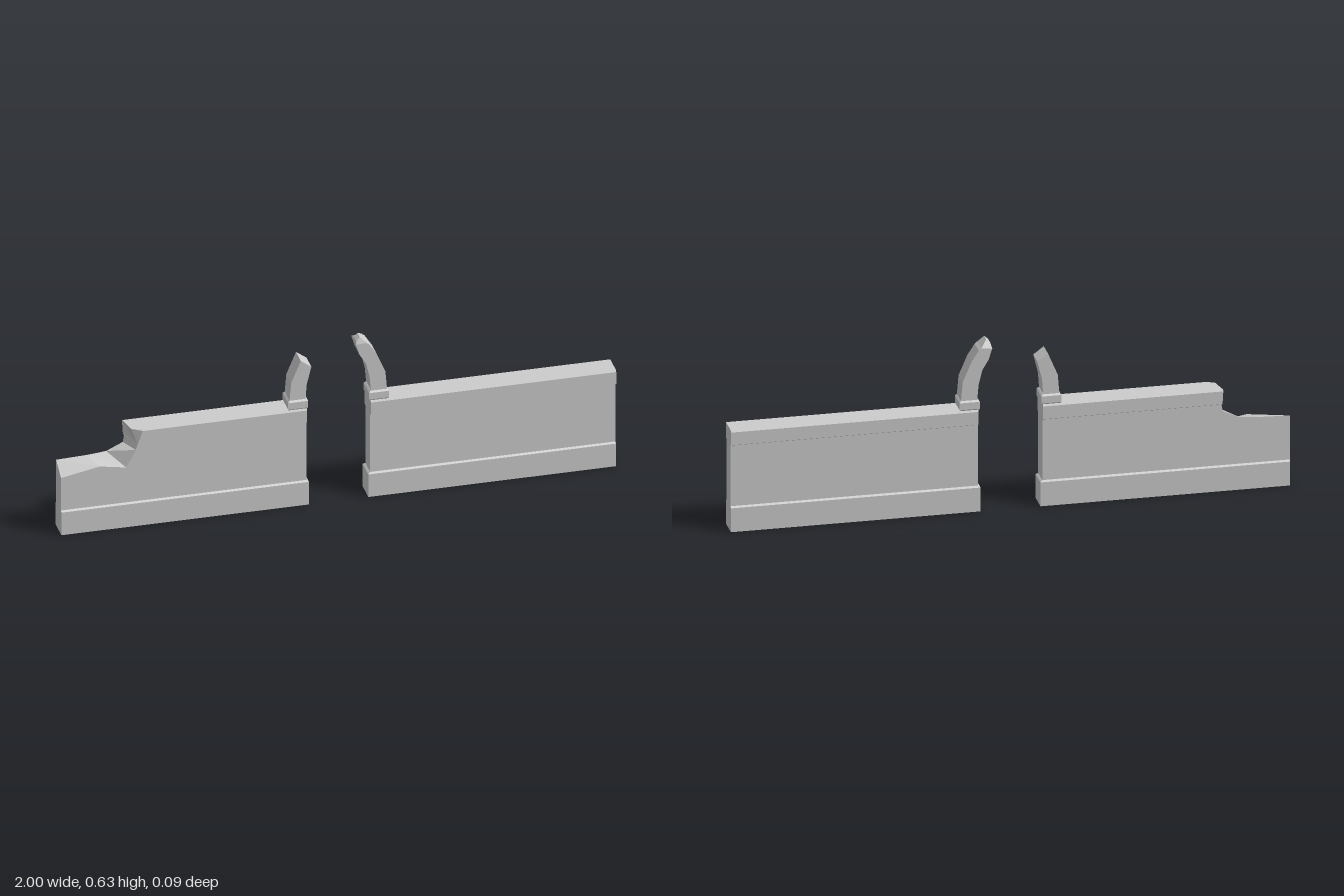
import * as THREE from 'three';

const material = new THREE.MeshStandardMaterial({ color: 0xcccccc, flatShading: true });

// Skins a row of equal-length rings; ends are triangulated in the plane of the two given axes.
function loft(name, rings, u, v) {
  const tris = [];
  const n = rings[0].length;
  for (let r = 0; r < rings.length - 1; r++) {
    for (let i = 0; i < n; i++) {
      const j = (i + 1) % n;
      const a = rings[r][i], b = rings[r][j], c = rings[r + 1][j], d = rings[r + 1][i];
      tris.push([a, b, c], [a, c, d]);
    }
  }
  const flat = (ring) => ring.map((p) => new THREE.Vector2(p[u], p[v]));
  const area = THREE.ShapeUtils.area(flat(rings[0]));
  [rings[0], rings[rings.length - 1]].forEach((ring, end) => {
    for (const f of THREE.ShapeUtils.triangulateShape(flat(ring), [])) {
      const t = f.map((k) => ring[k]);
      const s = THREE.ShapeUtils.area(flat(t));
      // the first end runs against the ring direction, the last end along it
      if ((s * area > 0) === (end === 0)) t.reverse();
      tris.push(t);
    }
  });
  // Turn everything outward if the enclosed volume comes out negative
  let volume = 0;
  for (const [a, b, c] of tris) {
    volume += new THREE.Vector3(...a).dot(new THREE.Vector3(...b).cross(new THREE.Vector3(...c)));
  }
  if (volume < 0) tris.forEach((t) => t.reverse());
  const geometry = new THREE.BufferGeometry();
  geometry.setAttribute('position', new THREE.Float32BufferAttribute(tris.flat(2), 3));
  geometry.computeVertexNormals();
  const mesh = new THREE.Mesh(geometry, material);
  mesh.name = name;
  return mesh;
}

// Horizontal rectangle at height y
const rect = (x0, x1, z, y) => [[x0, y, z], [x1, y, z], [x1, y, -z], [x0, y, -z]];

// Stepped plinth; side is +1 or -1
function plinth(side) {
  return loft('plinth', [[0.107, 0.04, 0], [0.107, 0.04, 0.09], [0.115, 0.034, 0.096]]
    .map(([x, z, y]) => rect(side * x, side, z, y)), 'x' === 'y' ? 1 : 0, 2);
}

// Bevelled collar under a horn
function collar(side) {
  const rows = [[0.383, 0.033, 0.037], [0.388, 0.036, 0.04], [0.414, 0.036, 0.04], [0.42, 0.03, 0.034]];
  return loft('collar', rows.map(([y, w, z]) => rect(side * 0.146 - w, side * 0.146 + w, z, y)), 0, 2);
}

// Curved horn; each row holds outer x, y, inner x, y, front z, back z
function horn(name, rows) {
  return loft(name, rows.map(([ox, oy, ix, iy, zf = 0.034, zb = -0.034]) =>
    [[ix, iy, zf], [ox, oy, zf], [ox, oy, zb], [ix, iy, zb]]), 0, 2);
}

// Coping section as [z, y]
const coping = [[0.034, 0.325], [0.044, 0.33], [0.044, 0.378], [0.04, 0.384], [0.03, 0.384],
  [-0.04, 0.384], [-0.044, 0.378], [-0.044, 0.33], [-0.034, 0.325]];
const copingRing = (xs) => coping.map(([z, y], i) => [Array.isArray(xs) ? xs[i] : xs, y, z]);

export function createModel() {
  const model = new THREE.Group();
  model.name = 'brokenGateWall';

  // Intact wall on the +x side
  const whole = new THREE.Group();
  whole.name = 'intactWall';
  whole.add(
    plinth(1),
    loft('wallPanel', [rect(0.115, 1, 0.034, 0.09), rect(0.115, 1, 0.034, 0.327)], 0, 2),
    loft('coping', [copingRing(0.115), copingRing(1)], 2, 1),
    collar(1),
    horn('tallHorn', [
      [0.176, 0.418, 0.118, 0.418],
      [0.17, 0.49, 0.113, 0.475],
      [0.138, 0.565, 0.1, 0.53],
      [0.112, 0.605, 0.077, 0.568],
      [0.102, 0.613, 0.064, 0.61],
      [0.08, 0.635, 0.066, 0.622, 0.025, -0.006],
    ]),
  );

  // Damaged wall on the -x side, its broken edge slanting from back to front
  const broken = new THREE.Group();
  broken.name = 'brokenWall';
  const foot = [[-1, 0.09], [-0.115, 0.09], [-0.115, 0.327]];
  const frontEdge = [[-0.722, 0.327], [-0.73, 0.3], [-0.765, 0.235], [-0.86, 0.252], [-1, 0.225]];
  const backEdge = [[-0.755, 0.327], [-0.76, 0.3], [-0.82, 0.272], [-0.89, 0.266], [-1, 0.262]];
  const face = (edge, z) => [...foot, ...edge].map(([x, y]) => [x, y, z]);
  broken.add(
    plinth(-1),
    loft('brokenPanel', [face(frontEdge, 0.034), face(backEdge, -0.034)], 0, 1),
    loft('brokenCoping', [
      copingRing([-0.725, -0.725, -0.708, -0.705, -0.745, -0.76, -0.76, -0.757, -0.755]),
      copingRing(-0.115),
    ], 2, 1),
    collar(-1),
    horn('brokenHorn', [
      [-0.176, 0.418, -0.118, 0.418],
      [-0.17, 0.49, -0.114, 0.475],
      [-0.135, 0.573, -0.097, 0.545],
    ]),
  );

  model.add(whole, broken);
  return model;
}
